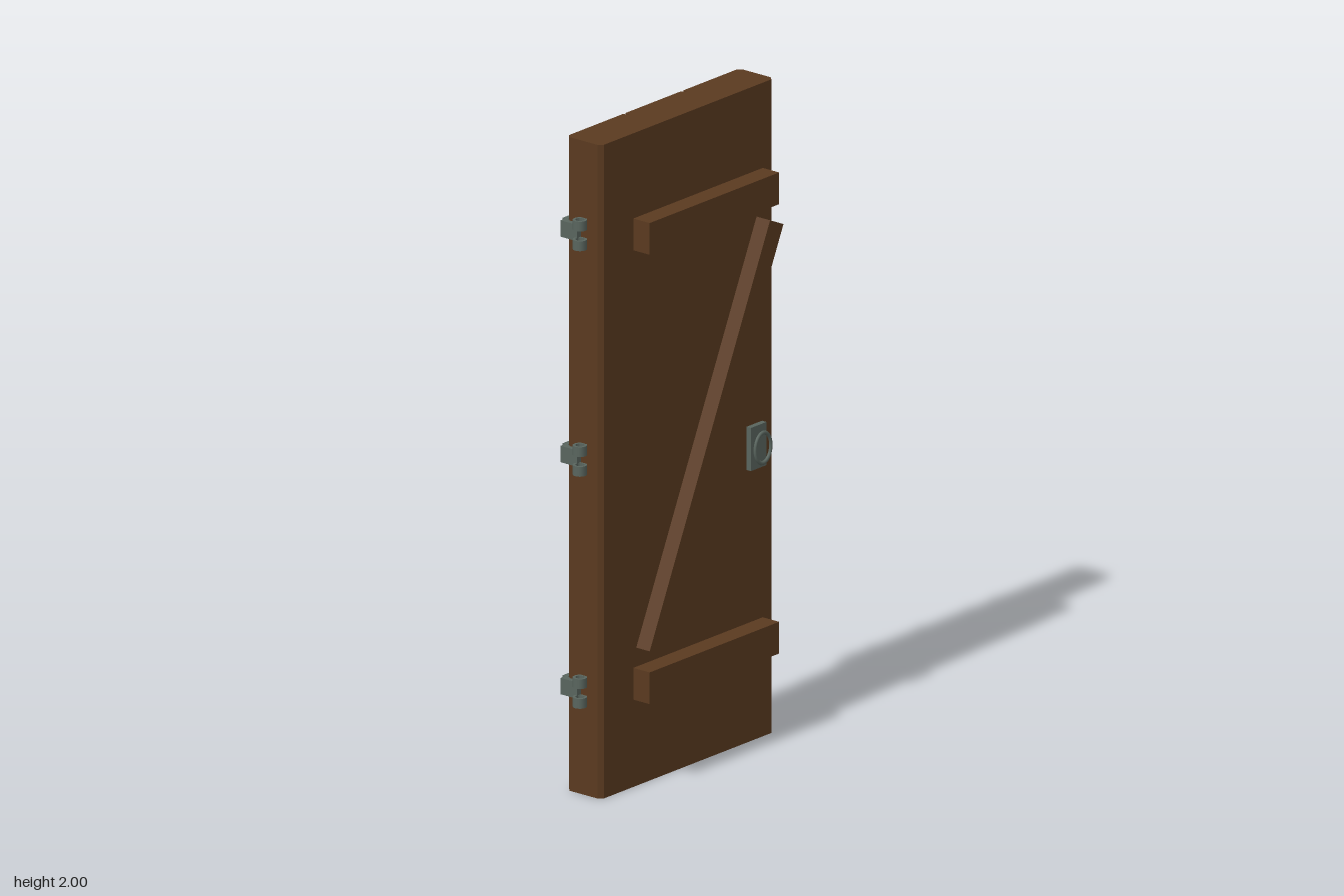
import * as THREE from 'three';

export function createModel() {
  const door = new THREE.Group();
  door.name = 'plankDoor';
  const wood = new THREE.MeshStandardMaterial({ name: 'darkWood', color: 0x5a3a20 });
  const iron = new THREE.MeshStandardMaterial({ name: 'greyIron', color: 0x59655e });

  function add(parent, name, geometry, material, x = 0, y = 0, z = 0) {
    const mesh = new THREE.Mesh(geometry, material);
    mesh.name = name;
    mesh.position.set(x, y, z);
    parent.add(mesh);
    return mesh;
  }
  // box given by its limits on each axis
  function box(parent, name, material, [x0, x1], [y0, y1], [z0, z1]) {
    return add(parent, name, new THREE.BoxGeometry(x1 - x0, y1 - y0, z1 - z0), material,
      (x0 + x1) / 2, (y0 + y1) / 2, (z0 + z1) / 2);
  }

  // slab: chamfered plan with two V grooves in the back, raised to full height
  const L = -0.37, R = 0.405, F = -0.065, B = 0.067, c = 0.013;
  const plan = [[L + c, F], [R - c, F], [R, F + c], [R, B - c], [R - c, B]];
  for (const g of [0.15, -0.11]) plan.push([g + 0.006, B], [g, B - 0.02], [g - 0.006, B]);
  plan.push([L + c, B], [L, B - c], [L, F + c]);
  const slab = new THREE.ExtrudeGeometry(
    new THREE.Shape(plan.map(([x, y]) => new THREE.Vector2(x, y))),
    { depth: 2, bevelEnabled: false });
  slab.rotateX(-Math.PI / 2);
  add(door, 'doorPlanks', slab, wood);

  // front battens and diagonal brace
  box(door, 'lowerBatten', wood, [-0.232, 0.348], [0.27, 0.367], [0.07, 0.132]);
  box(door, 'upperBatten', wood, [-0.232, 0.348], [1.645, 1.742], [0.07, 0.132]);
  const dx = 0.539, dy = 1.175;
  const brace = add(door, 'diagonalBrace',
    new THREE.BoxGeometry(0.066, Math.hypot(dx, dy), 0.051), wood, 0.066, 1.006, 0.108);
  brace.rotation.z = -Math.atan2(dx, dy);

  // hinges: strap, nails, turned end and two open knuckles
  const knuckle = new THREE.Shape().absarc(0, 0, 0.021, 0, Math.PI * 2, false);
  knuckle.holes.push(new THREE.Path().absarc(0, 0, 0.013, 0, Math.PI * 2, true));
  const knuckleGeo = new THREE.ExtrudeGeometry(knuckle,
    { depth: 0.03, bevelEnabled: false, curveSegments: 10 });
  knuckleGeo.rotateX(-Math.PI / 2);
  for (const y of [0.32, 1.03, 1.72]) {
    const hinge = new THREE.Group();
    hinge.name = 'strapHinge';
    hinge.position.y = y;
    door.add(hinge);
    box(hinge, 'strap', iron, [-0.365, 0.3], [-0.025, 0.025], [-0.085, -0.066]);
    box(hinge, 'strapEnd', iron, [-0.386, -0.364], [-0.025, 0.025], [-0.075, -0.012]);
    for (const k of [-0.045, 0.015]) add(hinge, 'knuckle', knuckleGeo, iron, -0.388, k, 0);
    for (const x of [-0.287, -0.071, 0.154, 0.27]) {
      const nail = add(hinge, 'nail', new THREE.CylinderGeometry(0.008, 0.008, 0.012, 8), iron, x, 0, -0.091);
      nail.rotation.x = Math.PI / 2;
    }
  }

  // ring handles on both faces
  for (const side of [1, -1]) {
    const handle = new THREE.Group();
    handle.name = side > 0 ? 'frontHandle' : 'backHandle';
    handle.position.set(0.271, 0.921, 0);
    door.add(handle);
    add(handle, 'handlePlate', new THREE.BoxGeometry(0.07, 0.132, 0.017), iron, 0, 0, side * 0.111);
    const ring = add(handle, 'handleRing', new THREE.TorusGeometry(0.035, 0.005, 8, 24), iron, 0, 0, side * 0.136);
    ring.scale.y = 1.32;
  }
  return door;
}
